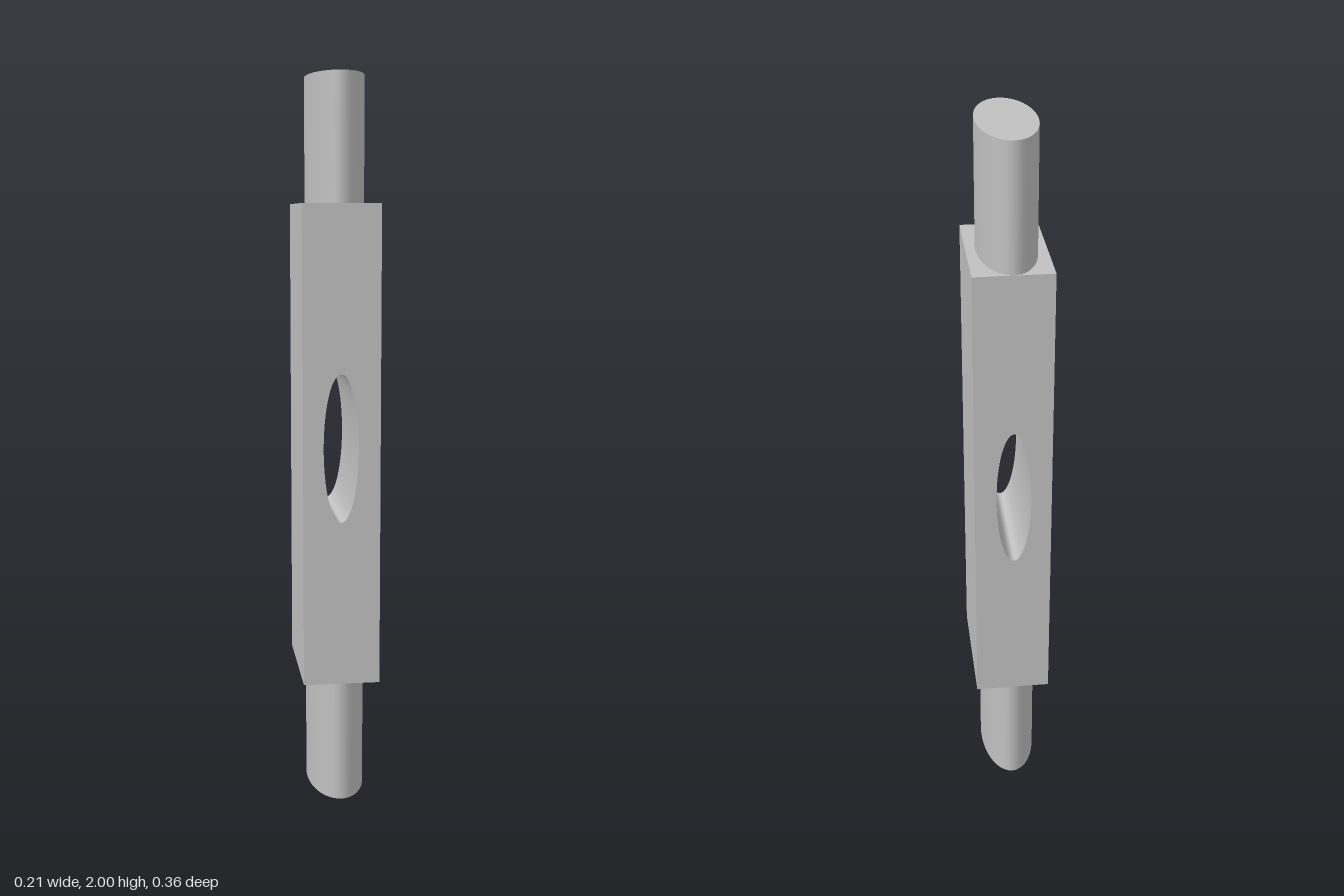
import * as THREE from 'three';

export function createModel() {
  const group = new THREE.Group();
  const grey = new THREE.MeshStandardMaterial({ color: 0xc0c0c0 });
  grey.name = 'light grey';

  const halfW = 0.106, halfD = 0.178, bottom = 0.34, top = 1.66;

  // Rectangular block with an oval hole running front to back
  const outline = new THREE.Shape();
  outline.moveTo(-halfW, bottom);
  outline.lineTo(halfW, bottom);
  outline.lineTo(halfW, top);
  outline.lineTo(-halfW, top);
  outline.closePath();
  const hole = new THREE.Path();
  hole.absellipse(-0.002, 1.003, 0.048, 0.204, 0, Math.PI * 2, true);
  outline.holes.push(hole);
  const blockGeometry = new THREE.ExtrudeGeometry(outline, {
    depth: halfD * 2, bevelEnabled: false, curveSegments: 48,
  });
  blockGeometry.translate(0, 0, -halfD);
  const block = new THREE.Mesh(blockGeometry, grey);
  block.name = 'block';
  group.add(block);

  // Oval pegs at both ends
  const addPeg = (name, y0, y1) => {
    const geometry = new THREE.CylinderGeometry(1, 1, y1 - y0, 48);
    geometry.scale(0.08, 1, 0.177);
    const peg = new THREE.Mesh(geometry, grey);
    peg.position.y = (y0 + y1) / 2;
    peg.name = name;
    group.add(peg);
  };
  addPeg('bottomPeg', 0, bottom);
  addPeg('topPeg', top, 2);

  return group;
}
